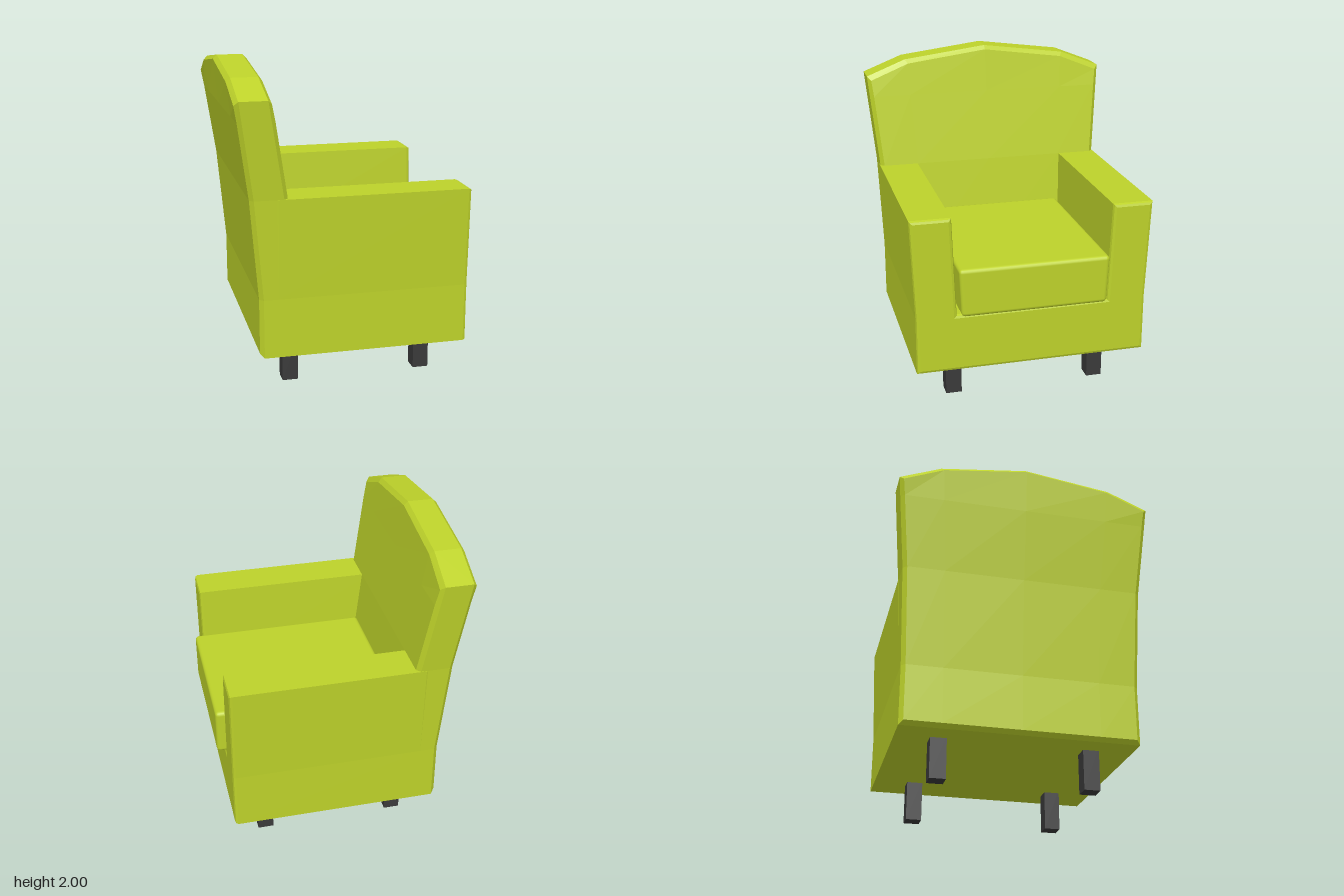
import * as THREE from 'three';
import { RoundedBoxGeometry } from 'three/addons/geometries/RoundedBoxGeometry.js';

const fabric = new THREE.MeshStandardMaterial({ color: 0xbdd22a });
const wood = new THREE.MeshStandardMaterial({ color: 0x3a3a3a });

function addMesh(parent, name, geometry, material) {
  const mesh = new THREE.Mesh(geometry, material);
  mesh.name = name;
  parent.add(mesh);
  return mesh;
}

// Piecewise linear lookup
function lookup(keys, values, k) {
  for (let i = 1; i < keys.length; i++) {
    if (k <= keys[i]) {
      const t = (k - keys[i - 1]) / (keys[i] - keys[i - 1]);
      return THREE.MathUtils.lerp(values[i - 1], values[i], t);
    }
  }
  return values[values.length - 1];
}

// Base and both arms: one U-shaped section run from back to front
function baseGeometry() {
  const side = [[0.727, 0.25], [0.727, 0.62], [0.753, 1.24], [0.5, 1.24], [0.475, 0.62]];
  const mirrored = side.map(([x, y]) => [-x, y]).reverse();
  const shape = new THREE.Shape([...side, ...mirrored].map(([x, y]) => new THREE.Vector2(x, y)));
  const bevel = 0.02, back = -0.5, front = 0.712;
  const geo = new THREE.ExtrudeGeometry(shape, {
    depth: front - back - 2 * bevel, bevelEnabled: true, bevelSegments: 2,
    bevelSize: bevel, bevelThickness: bevel, bevelOffset: -bevel,
  });
  return geo.translate(0, 0, back + bevel);
}

// Backrest: a gridded box bent into a flared, leaning slab with an arched top
function backrestGeometry() {
  const heights = [0.25, 0.62, 1.24, 1.83, 2];
  const halfWidths = [0.727, 0.727, 0.75, 0.805, 0.805];
  const backs = [-0.597, -0.597, -0.65, -0.735, -0.745];
  const fronts = [-0.28, -0.34, -0.42, -0.515, -0.535];
  const columns = [-1, -0.68, 0, 0.68, 1];
  const arch = [1.83, 1.93, 2, 1.93, 1.83];
  const rows = [0.25, 0.62, 1.24, 1.7];
  const bevel = 0.025;
  const geo = new THREE.BoxGeometry(1, 1, 1, 4, 4, 3);
  const p = geo.attributes.position;
  for (let n = 0; n < p.count; n++) {
    const i = Math.round((p.getX(n) + 0.5) * 4);
    const j = Math.round((p.getY(n) + 0.5) * 4);
    const k = Math.round((p.getZ(n) + 0.5) * 3);
    const outer = k === 0 || k === 3;
    let y = j === 4 ? arch[i] : rows[j];
    const back = lookup(heights, backs, y), front = lookup(heights, fronts, y);
    const half = lookup(heights, halfWidths, y) - (outer ? bevel : 0);
    // for the arch, keep the width of the shoulders
    const z = [back, back + bevel, front - bevel, front][k];
    if (outer && j === 4) y -= bevel;
    if (outer && j === 0) y += bevel;
    p.setXYZ(n, columns[i] * half, y, z);
  }
  const flat = geo.toNonIndexed();
  flat.computeVertexNormals();
  return flat;
}

// Seat cushion, slightly narrower at its underside
function cushionGeometry() {
  const geo = new RoundedBoxGeometry(0.94, 0.305, 1.145, 2, 0.025);
  const p = geo.attributes.position;
  for (let n = 0; n < p.count; n++) p.setX(n, p.getX(n) * (0.985 + 0.1 * p.getY(n)));
  return geo.translate(0, 0.778, 0.193);
}

export function createModel() {
  const model = new THREE.Group();
  model.name = 'armchair';
  const chair = new THREE.Group();
  chair.name = 'chair';
  model.add(chair);

  addMesh(chair, 'baseAndArms', baseGeometry(), fabric);
  addMesh(chair, 'backrest', backrestGeometry(), fabric);
  addMesh(chair, 'seatCushion', cushionGeometry(), fabric);

  // Four square legs
  const legGeo = new THREE.BoxGeometry(0.1, 0.27, 0.1).translate(0, 0.135, 0);
  for (const sx of [-1, 1]) {
    for (const sz of [-1, 1]) {
      const name = (sz > 0 ? 'front' : 'back') + (sx > 0 ? 'Left' : 'Right') + 'Leg';
      addMesh(chair, name, legGeo, wood).position.set(sx * 0.467, 0, 0.055 + sz * 0.43);
    }
  }

  // The chair is turned sideways, a few degrees past square
  chair.rotation.y = Math.PI / 2 + 0.083;
  chair.position.set(-0.002, 0, -0.027);
  return model;
}
